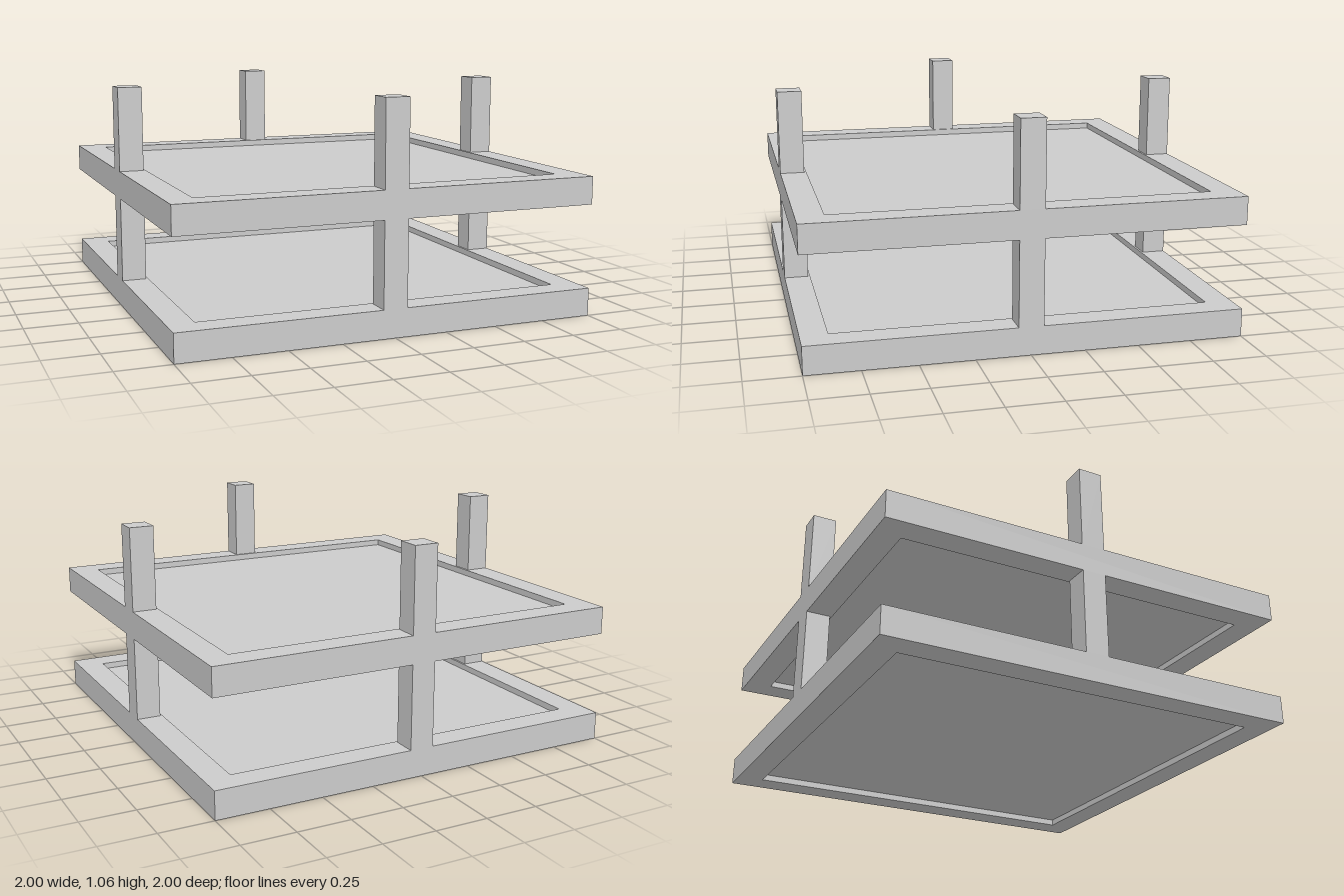
import * as THREE from 'three';

const FRAME_H = 0.132, POST_H = 0.398, POST_W = 0.115;
const OPENING = 0.875, RECESS = 0.03;

export function createModel() {
  const model = new THREE.Group();
  model.name = 'stackedTrays';
  const material = new THREE.MeshStandardMaterial({ color: 0xcccccc, flatShading: true });

  const add = (parent, name, geometry, x, y, z) => {
    const mesh = new THREE.Mesh(geometry, material);
    mesh.name = name;
    mesh.position.set(x, y, z);
    parent.add(mesh);
  };

  // Square outline, used for the rim and its opening
  const square = (Type, r) => new Type([[-r, -r], [r, -r], [r, r], [-r, r]].map(([x, y]) => new THREE.Vector2(x, y)));

  const rim = square(THREE.Shape, 1);
  rim.holes.push(square(THREE.Path, OPENING));
  const rimGeometry = new THREE.ExtrudeGeometry(rim, { depth: FRAME_H, bevelEnabled: false });
  rimGeometry.rotateX(-Math.PI / 2);

  const panelGeometry = new THREE.BoxGeometry(2 * OPENING, FRAME_H - 2 * RECESS, 2 * OPENING);
  const postGeometry = new THREE.BoxGeometry(POST_W, POST_H, POST_W);
  const reach = 1 - POST_W / 2;
  const posts = [['front', 0, reach], ['back', 0, -reach], ['left', reach, 0], ['right', -reach, 0]];

  // Two identical tiers: rim, recessed panel and a post at the middle of each side
  for (const [i, tierName] of ['lowerTier', 'upperTier'].entries()) {
    const tier = new THREE.Group();
    tier.name = tierName;
    tier.position.y = i * (FRAME_H + POST_H);
    add(tier, 'rim', rimGeometry, 0, 0, 0);
    add(tier, 'panel', panelGeometry, 0, FRAME_H / 2, 0);
    for (const [side, x, z] of posts) {
      add(tier, side + 'Post', postGeometry, x, FRAME_H + POST_H / 2, z);
    }
    model.add(tier);
  }
  return model;
}
